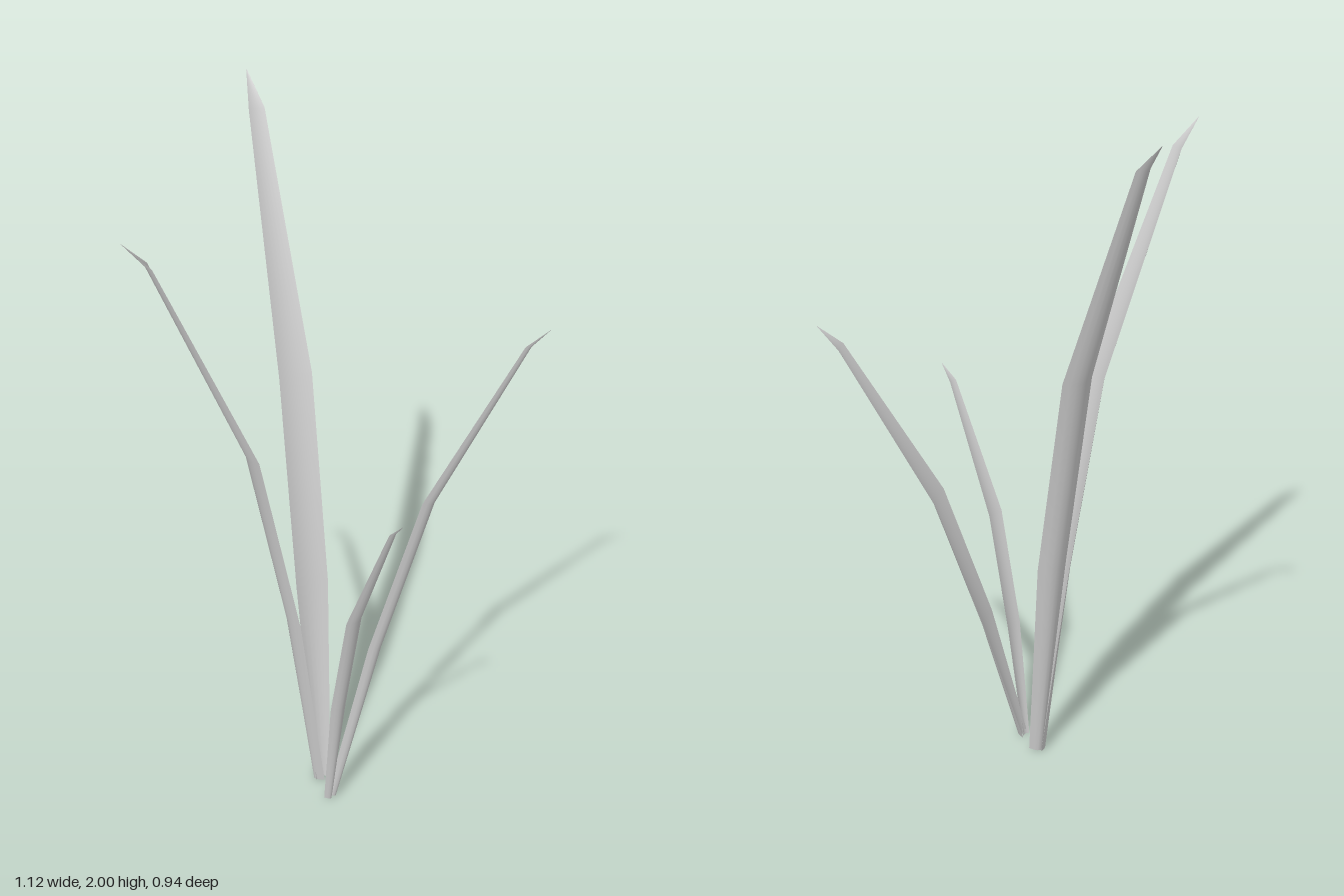
import * as THREE from 'three';

const material = new THREE.MeshStandardMaterial({ color: 0xcccccc, side: THREE.DoubleSide });

// Blade cross-sections from root to tip: height, outward lean, half width, depth
const SECTIONS = [
  [0.008, 0, 0.022, 0.027],
  [0.65, 0.085, 0.047, 0.025],
  [1.26, 0.205, 0.047, 0.023],
  [1.92, 0.48, 0.022, 0.012],
  [2.0, 0.55, 0.001, 0],
];
const ACROSS = 6;

// A crescent-shaped leaf: a round outer (+z) face and a shallow inner face that meet at sharp edges
function bladeGeometry() {
  const positions = [];
  const index = [];
  for (const [bulge, outer] of [[1, true], [0.4, false]]) {
    const start = positions.length / 3;
    SECTIONS.forEach(([y, out, half, depth], row) => {
      for (let i = 0; i <= ACROSS; i++) {
        const s = (i / ACROSS) * 2 - 1;
        positions.push(s * half, y, out + depth * (bulge * (1 - s * s) - 0.5));
        if (row > 0 && i > 0) {
          const d = start + row * (ACROSS + 1) + i;
          const c = d - 1;
          const b = d - ACROSS - 1;
          const a = b - 1;
          index.push(...(outer ? [a, b, d, a, d, c] : [a, d, b, a, c, d]));
        }
      }
    });
  }
  const geometry = new THREE.BufferGeometry();
  geometry.setAttribute('position', new THREE.Float32BufferAttribute(positions, 3));
  geometry.setIndex(index);
  geometry.computeVertexNormals();
  return geometry;
}

export function createModel() {
  const group = new THREE.Group();
  group.name = 'grassTuft';
  const geometry = bladeGeometry();

  function addBlade(name, scale, root) {
    const blade = new THREE.Mesh(geometry, material);
    blade.name = name;
    blade.scale.setScalar(scale);
    blade.position.set(...root);
    group.add(blade);
    return blade;
  }

  // Three upright blades, each turned to lean its own way
  addBlade('backBlade', 1, [-0.041, 0, 0.08]).rotation.y = Math.PI;
  addBlade('rightBlade', 0.923, [-0.052, 0, 0.08]).rotation.y = -Math.PI / 2;
  addBlade('frontBlade', 0.56, [-0.053, 0, 0.172]).rotation.y = 0.29;

  // The fourth blade is also tipped sideways, so its axes are given directly
  const up = new THREE.Vector3(0.228, 0.954, -0.198).normalize();
  const out = new THREE.Vector3(0.628, 0.011, 0.765);
  const side = new THREE.Vector3().crossVectors(up, out).normalize();
  out.crossVectors(side, up);
  addBlade('leftBlade', 0.752, [-0.043, 0.005, 0.172])
    .quaternion.setFromRotationMatrix(new THREE.Matrix4().makeBasis(side, up, out));

  return group;
}
